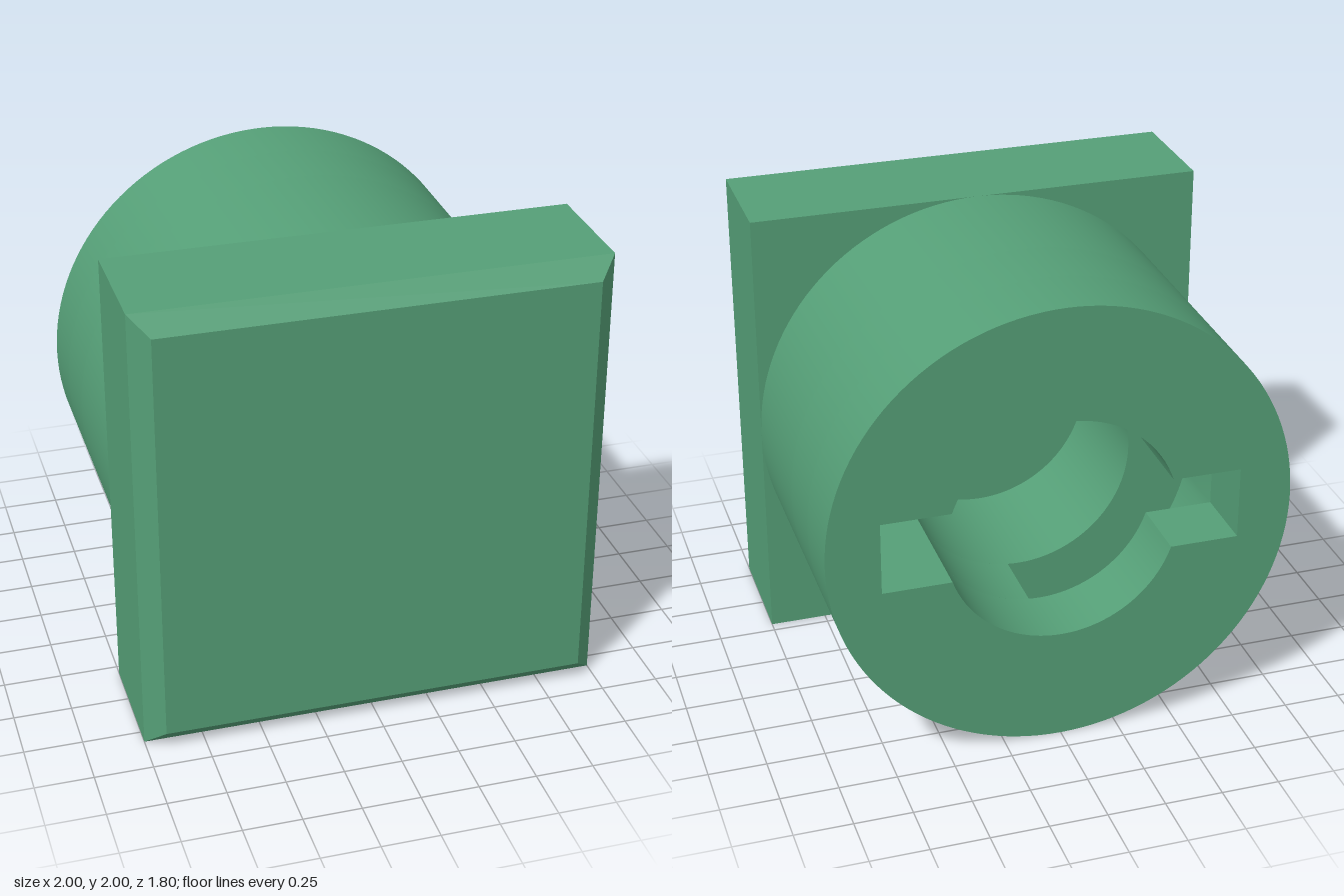
import * as THREE from 'three';
import { mergeGeometries, toCreasedNormals } from 'three/addons/utils/BufferGeometryUtils.js';
import { ConvexGeometry } from 'three/addons/geometries/ConvexGeometry.js';

const BORE = 0.5;   // bore radius
const REACH = 0.77; // slot half length
const SLOT = 0.16;  // slot half height
const STOP = 0.05;  // how far the channel runs past the vertical

const arc = (r, from, to, n) => Array.from({ length: n + 1 }, (_, i) => {
  const a = from + (to - from) * i / n;
  return new THREE.Vector2(r * Math.cos(a), r * Math.sin(a));
});

// Completes a half outline by repeating it turned half a turn
const twoFold = half => [...half, ...half.map(p => p.clone().negate())];

export function createModel() {
  const model = new THREE.Group();
  const material = new THREE.MeshStandardMaterial({ color: 0x559f77 });
  const add = (name, geometry) => {
    const mesh = new THREE.Mesh(geometry, material);
    mesh.name = name;
    model.add(mesh);
  };

  // Square plate with a chamfered front
  const corners = [];
  for (const [h, z] of [[1, 0.3], [1, 0.82], [0.92, 0.9]])
    for (const x of [-h, h]) for (const y of [-h, h]) corners.push(new THREE.Vector3(x, y, z));
  add('plate', new ConvexGeometry(corners));

  // Entry opening: round bore with a slot on each side
  const slotAngle = Math.asin(SLOT / BORE);
  const entry = twoFold([
    new THREE.Vector2(REACH, -SLOT),
    new THREE.Vector2(REACH, SLOT),
    ...arc(BORE, slotAngle, Math.PI - slotAngle, 40),
  ]);

  // Turning channel: each slot widens into a quarter-turn pocket
  const outer = Math.hypot(REACH, SLOT);
  const channel = twoFold([
    new THREE.Vector2(REACH, -SLOT),
    ...arc(outer, Math.atan2(SLOT, REACH), Math.acos(-STOP / outer), 24),
    ...arc(BORE, Math.acos(-STOP / BORE), Math.PI - slotAngle, 20),
  ]);

  // Round bore behind the channel
  const bore = arc(BORE, 0, Math.PI * 2, 96).slice(0, -1);

  // Round socket, stacked from back to front
  const layers = [[entry, -0.9, 0.3], [channel, -0.6, 0.3], [bore, -0.3, 0.6]].map(([hole, z, depth]) => {
    const shape = new THREE.Shape(arc(1, 0, Math.PI * 2, 128).slice(0, -1));
    shape.holes.push(new THREE.Path(hole));
    return new THREE.ExtrudeGeometry(shape, { depth, bevelEnabled: false }).translate(0, 0, z);
  });
  add('socket', toCreasedNormals(mergeGeometries(layers), 0.5));

  model.children.forEach(part => { part.position.y = 1; });
  return model;
}
